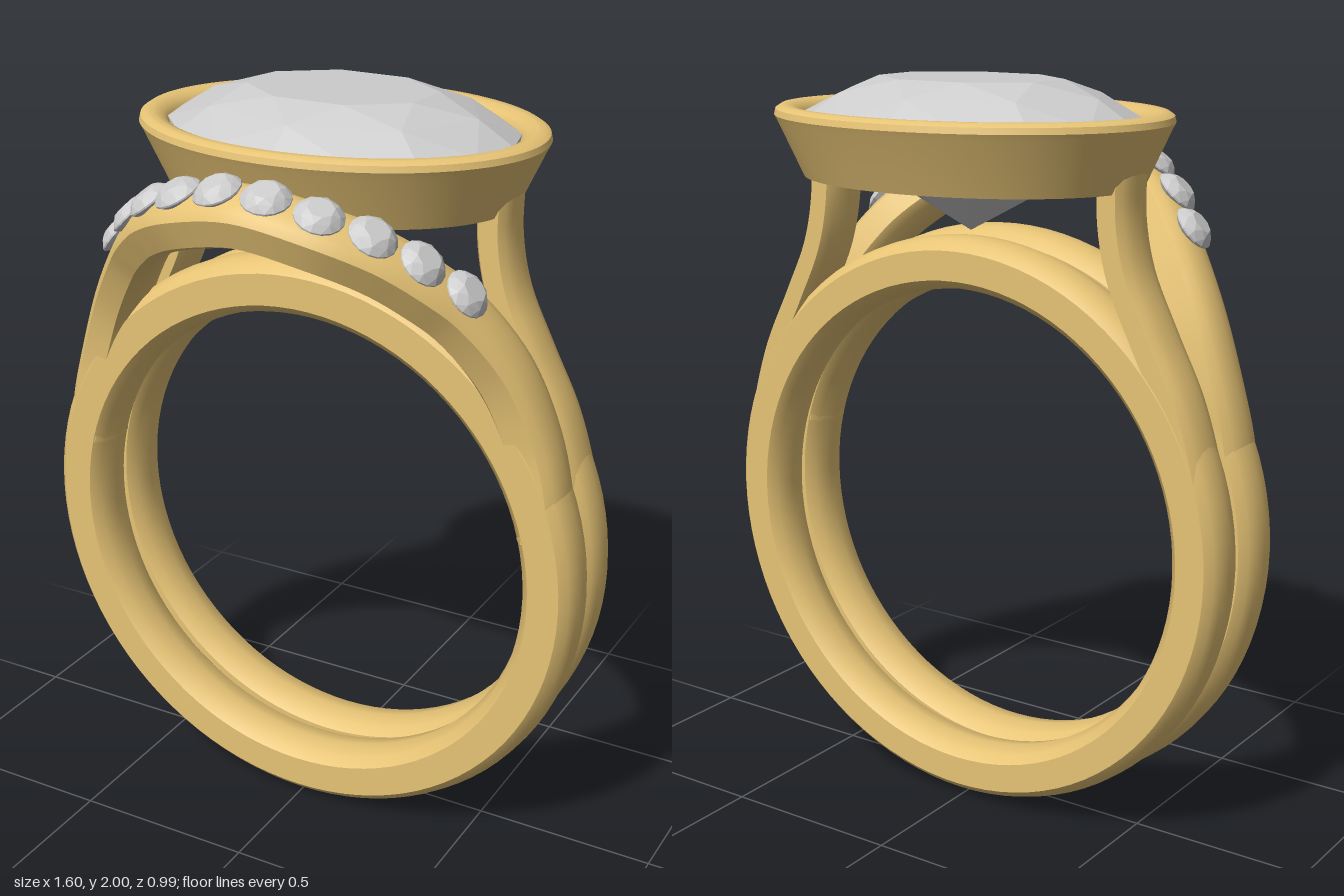
import * as THREE from 'three';
import { toCreasedNormals } from 'three/addons/utils/BufferGeometryUtils.js';
import { ConvexGeometry } from 'three/addons/geometries/ConvexGeometry.js';

const gold = new THREE.MeshStandardMaterial({ color: 0xe6c375 });
const stone = new THREE.MeshStandardMaterial({ color: 0xcccccc });
const V = (x, y, z) => new THREE.Vector3(x, y, z);

// Band section: [across the width -1..1, inner 0 to outer 1]
const SECTION = [
  [-1, 0.775], [-0.75, 0.91], [-0.4, 0.98], [0, 1], [0.4, 0.98], [0.75, 0.91], [1, 0.775],
  [1, 0.225], [0.7, 0.08], [0, 0], [-0.7, 0.08], [-1, 0.225],
];

// Skin closed cross-sections; either joined into a loop or capped at both ends
function loft(rings, loop) {
  const n = rings[0].length, m = rings.length, tris = [];
  const tri = (a, b, c) => tris.push([a, b, c]);
  for (let i = 0; i < (loop ? m : m - 1); i++) {
    const p = rings[i], q = rings[(i + 1) % m];
    for (let j = 0; j < n; j++) {
      const k = (j + 1) % n;
      tri(p[j], q[j], q[k]);
      tri(p[j], q[k], p[k]);
    }
  }
  if (!loop) {
    for (let j = 1; j < n - 1; j++) {
      tri(rings[0][0], rings[0][j], rings[0][j + 1]);
      tri(rings[m - 1][0], rings[m - 1][j + 1], rings[m - 1][j]);
    }
  }
  // Turn the faces outward if the enclosed volume comes out negative
  const c = rings[0][0], d = (v) => v.clone().sub(c);
  const volume = tris.reduce((s, t) => s + d(t[0]).dot(d(t[1]).cross(d(t[2]))), 0);
  const flat = tris.flatMap(([a, b, e]) => (volume > 0 ? [a, b, e] : [a, e, b]));
  return toCreasedNormals(new THREE.BufferGeometry().setFromPoints(flat), 0.6);
}

// Position and axes along a path that runs over the outer surface
function frame(curve, t, tiltAt) {
  const p = curve.getPointAt(t), tangent = curve.getTangentAt(t), a = tiltAt(p.x);
  const w = V(0, -Math.sin(a), Math.cos(a));
  w.addScaledVector(tangent, -w.dot(tangent)).normalize();
  return { p, w, n: w.clone().cross(tangent).normalize() };
}

function sweep(curve, steps, halfWidth, thick, tiltAt) {
  const rings = [];
  for (let i = 0; i <= steps; i++) {
    const { p, w, n } = frame(curve, i / steps, tiltAt);
    rings.push(SECTION.map(([a, b]) =>
      p.clone().addScaledVector(w, a * halfWidth).addScaledVector(n, (b - 1) * thick)));
  }
  return loft(rings, false);
}

// Full circular finger ring
function ring(radius, inner, z, halfWidth) {
  const rings = [];
  for (let i = 0; i < 96; i++) {
    const a = (i / 96) * Math.PI * 2;
    rings.push(SECTION.map(([w, b]) => {
      const r = inner + (radius - inner) * b;
      return V(r * Math.cos(a), 0.8 + r * Math.sin(a), z + w * halfWidth);
    }));
  }
  return loft(rings, true);
}

// Faceted brilliant cut, girdle at y = 0
function gem(rx, rz, crown, depth) {
  const pts = [V(0, -depth, 0)];
  const add = (count, r, y, shift) => {
    for (let i = 0; i < count; i++) {
      const a = ((i + shift) / count) * Math.PI * 2;
      pts.push(V(rx * r * Math.cos(a), y, rz * r * Math.sin(a)));
    }
  };
  add(8, 0.54, crown, 0.5);
  add(8, 0.8, crown * 0.66, 0);
  add(16, 1, crown * 0.15, 0);
  add(16, 1, 0, 0);
  add(8, 0.5, -depth * 0.54, 0.5);
  return new ConvexGeometry(pts);
}

export function createModel() {
  const model = new THREE.Group();
  const add = (name, geometry, material = gold) => {
    const mesh = new THREE.Mesh(geometry, material);
    mesh.name = name;
    model.add(mesh);
    return mesh;
  };

  // Two finger rings side by side
  add('frontRing', ring(0.8, 0.645, 0.1, 0.08));
  add('rearRing', ring(0.79, 0.645, -0.075, 0.077));

  // Arched band bowing forward around the setting
  const half = [
    [0.2, 1.805, 0.39], [0.34, 1.745, 0.325], [0.43, 1.68, 0.268], [0.52, 1.59, 0.2],
    [0.63, 1.425, 0.13], [0.705, 1.24, 0.101], [0.742, 1.1, 0.1], [0.757, 0.98, 0.1],
  ];
  const arch = new THREE.CatmullRomCurve3([
    ...half.map(([x, y, z]) => V(-x, y, z)).reverse(),
    V(0, 1.842, 0.418),
    ...half.map(([x, y, z]) => V(x, y, z)),
  ]);
  const tilt = (x) => 0.36 * Math.max(0, 1 - (x / 0.74) ** 2);
  add('archedBand', sweep(arch, 80, 0.078, 0.135, tilt));

  // Row of ten small stones set along the arch
  const length = arch.getLength();
  const small = gem(0.063, 0.063, 0.03, 0.05);
  for (let i = 0; i < 10; i++) {
    const t = 0.5 + ((i - 4.5) * 0.135) / length;
    const { p, w, n } = frame(arch, t, tilt);
    const mesh = add('smallStone', small, stone);
    mesh.quaternion.setFromRotationMatrix(new THREE.Matrix4().makeBasis(n.clone().cross(w), n, w));
    mesh.position.copy(p).addScaledVector(n, 0.002);
  }

  // S-curved shoulders from the rear ring up to the setting
  const post = [
    [0.503, 1.8], [0.503, 1.68], [0.53, 1.55], [0.6, 1.4], [0.68, 1.24], [0.732, 1.08], [0.765, 0.92],
  ];
  for (const side of [1, -1]) {
    const pts = post.map(([x, y]) => V(side * x, y, -0.075));
    if (side < 0) pts.reverse();
    add(side > 0 ? 'leftShoulder' : 'rightShoulder',
      sweep(new THREE.CatmullRomCurve3(pts), 36, 0.075, 0.095, () => 0));
  }

  // Oval bezel: [inset from the outer oval, height]
  const profile = [
    [0.075, 1.74], [0.008, 1.885], [0, 1.9], [0.004, 1.916], [0.018, 1.925], [0.04, 1.925],
    [0.065, 1.915], [0.08, 1.895], [0.088, 1.865], [0.14, 1.74],
  ];
  const bezel = [];
  for (let i = 0; i < 96; i++) {
    const a = (i / 96) * Math.PI * 2;
    bezel.push(profile.map(([d, y]) =>
      V((0.557 - d) * Math.cos(a), y, (0.428 - d) * Math.sin(a))));
  }
  add('bezel', loft(bezel, true)).position.z = -0.077;

  // Large oval stone
  add('centreStone', gem(0.482, 0.353, 0.115, 0.28), stone).position.set(0, 1.885, -0.077);

  return model;
}
